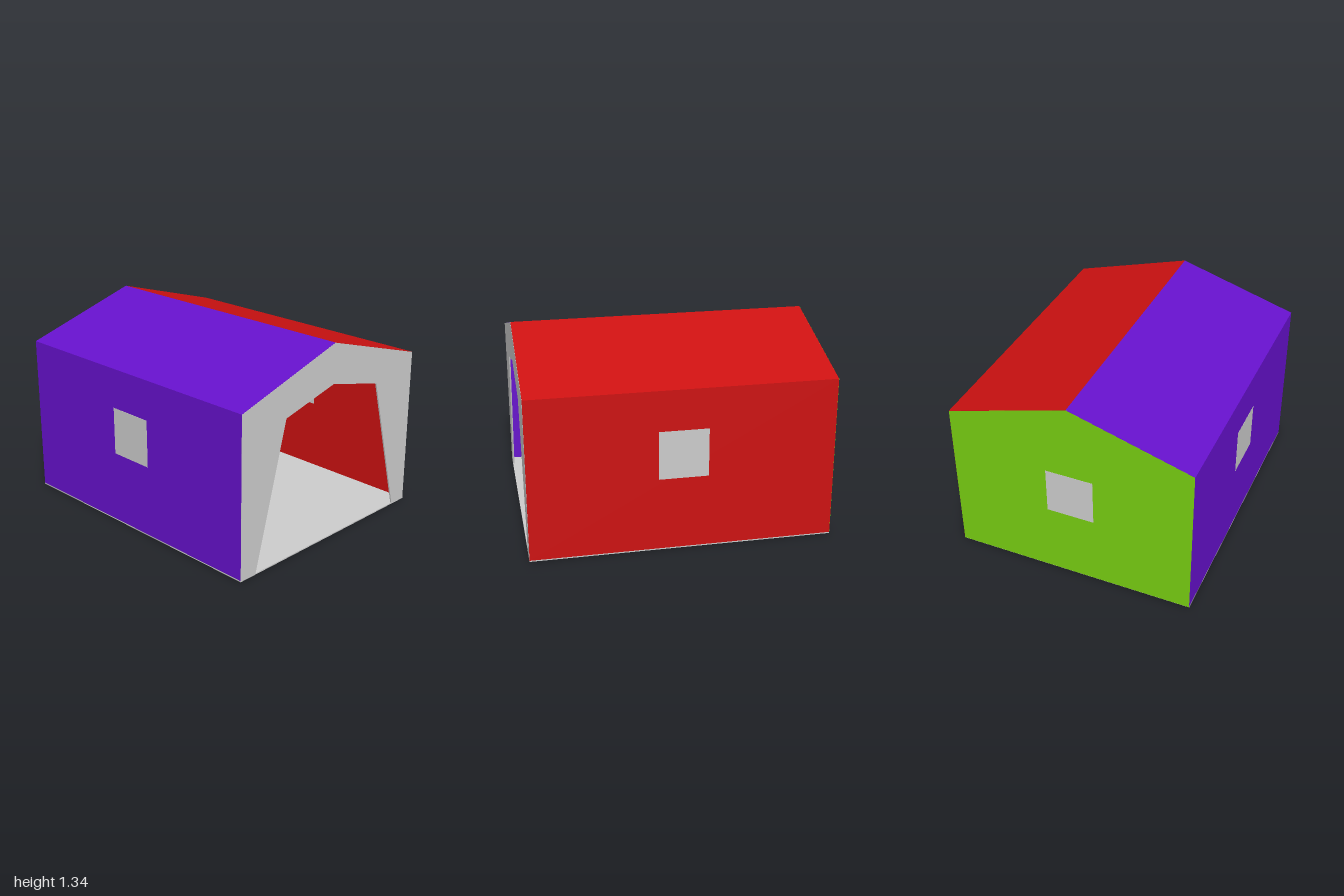
import * as THREE from 'three';

const T = 0.01;                       // panel thickness
const HALF = 0.83, EAVE = 1.095, RIDGE = 1.343;
const mat = (color) => new THREE.MeshStandardMaterial({ color, flatShading: true });
const grey = mat(0xcccccc), purple = mat(0x6611cc), red = mat(0xcc1111), green = mat(0x77cc11);

// Extrude a profile of [-z, y] points along x, from x0 to x1
function extrudeX(name, points, x0, x1, material) {
  const shape = new THREE.Shape(points.map(([u, y]) => new THREE.Vector2(u, y)));
  const geo = new THREE.ExtrudeGeometry(shape, { depth: x1 - x0, bevelEnabled: false });
  geo.rotateY(Math.PI / 2).translate(x0, 0, 0);
  const mesh = new THREE.Mesh(geo, material);
  mesh.name = name;
  return mesh;
}

function box(name, size, pos, material) {
  const mesh = new THREE.Mesh(new THREE.BoxGeometry(...size), material);
  mesh.name = name;
  mesh.position.set(...pos);
  return mesh;
}

export function createModel() {
  const model = new THREE.Group();
  model.name = 'shed';

  // Floor slab
  model.add(box('floor', [2, 0.008, 2 * HALF], [0, 0.004, 0], grey));

  // Each long side: wall and roof slope as one bent panel
  for (const [name, side, material] of [['frontWallAndRoof', 1, purple], ['backWallAndRoof', -1, red]]) {
    const profile = [
      [HALF, 0.008], [HALF, EAVE], [0, RIDGE],
      [0, RIDGE - T], [HALF - T, EAVE - T], [HALF - T, 0.008],
    ].map(([z, y]) => [-side * z, y]);
    model.add(extrudeX(name, profile, -0.999, 0.999, material));
  }

  // Closed gable end
  const h = HALF - 0.001, e = EAVE - 0.001, r = RIDGE - 0.001;
  const gable = [[-h, 0.001], [-h, e], [0, r], [h, e], [h, 0.001]];
  model.add(extrudeX('closedGable', gable, -1, -1 + T, green));

  // Open gable end with a tapered doorway
  const doorway = [[0.7, 0.001], [0.443, 0.963], [0, 1.073], [-0.443, 0.963], [-0.7, 0.001]];
  model.add(extrudeX('openGable', [...gable, ...doorway], 1 - T, 1, grey));

  // Square window panes, just proud of both wall faces
  const W = 0.325, D = T + 0.002, Y = 0.661;
  model.add(box('frontWindow', [W, W, D], [0, Y, HALF - T / 2], grey));
  model.add(box('backWindow', [W, W, D], [0, Y, -HALF + T / 2], grey));
  model.add(box('gableWindow', [D, W, W], [-1 + T / 2, Y, 0], grey));

  return model;
}
